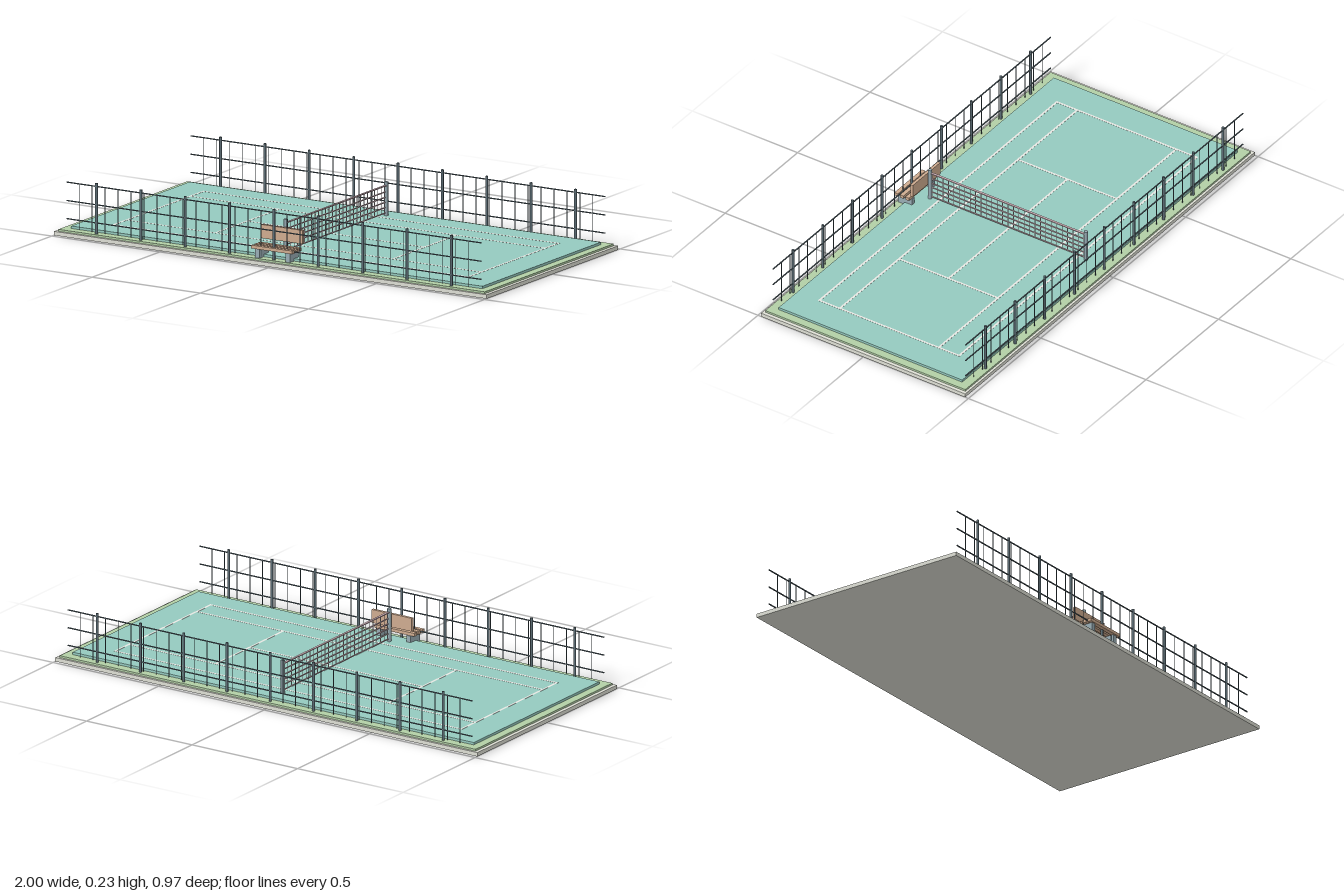
import * as THREE from 'three';

const mat = (name, color) => {
  const m = new THREE.MeshStandardMaterial({ color });
  m.name = name;
  return m;
};

export function createModel() {
  const root = new THREE.Group();
  root.name = 'tennisCourt';
  const concrete = mat('concrete', 0xdfe0d6);
  const grass = mat('grass green', 0xb2cfa6);
  const teal = mat('court teal', 0x95cabf);
  const white = mat('line white', 0xf4f4f0);
  const fenceDark = mat('fence slate', 0x607179);
  const steel = mat('steel grey', 0x9aaeb6);
  const netWhite = mat('net off-white', 0xe4e0e0);
  const tape = mat('net tape pink', 0xdcbcc4);
  const wood = mat('bench wood', 0xd0ad91);

  const group = (name) => {
    const g = new THREE.Group();
    g.name = name;
    root.add(g);
    return g;
  };
  const box = (parent, name, m, w, h, d, x, y, z) => {
    const b = new THREE.Mesh(new THREE.BoxGeometry(w, h, d), m);
    b.name = name;
    b.position.set(x, y, z);
    parent.add(b);
  };
  const post = (parent, name, m, r, y0, y1, x, z) => {
    const p = new THREE.Mesh(new THREE.CylinderGeometry(r, r, y1 - y0, 12), m);
    p.name = name;
    p.position.set(x, (y0 + y1) / 2, z);
    parent.add(p);
  };

  // Stepped ground slabs
  const ground = group('ground');
  box(ground, 'baseSlab', concrete, 2, 0.016, 0.97, 0, 0.008, 0);
  box(ground, 'grassBorder', grass, 1.97, 0.008, 0.95, 0, 0.02, 0);
  box(ground, 'courtSurface', teal, 1.9, 0.01, 0.872, 0, 0.029, 0);

  // Painted court lines
  const lines = group('courtLines');
  const T = 0.009, H = 0.0006, LY = 0.0342;
  for (const s of [-1, 1]) {
    box(lines, 'doublesSideline', white, 1.64 + T, H, T, 0, LY, s * 0.332);
    box(lines, 'singlesSideline', white, 1.64, H, T, 0, LY, s * 0.235);
    box(lines, 'baseline', white, T, H, 0.664, s * 0.82, LY, 0);
    box(lines, 'serviceLine', white, T, H, 0.47, s * 0.41, LY, 0);
  }
  box(lines, 'centreLine', white, 0.82, H, T, 0, LY, 0);

  // Net with posts, cords and mesh
  const net = group('net');
  for (const s of [-1, 1]) post(net, 'netPost', steel, 0.008, 0.034, 0.17, 0, s * 0.37);
  [0.155, 0.13, 0.108, 0.088, 0.067, 0.045].forEach((y, i) =>
    box(net, 'netCord', tape, i ? 0.004 : 0.009, 0.004, 0.73, 0, y, 0));
  for (let i = 0; i <= 28; i++)
    box(net, 'netStrand', netWhite, 0.002, 0.112, 0.002, 0, 0.1, -0.36 + (i * 0.72) / 28);

  // Long fences on both sides
  for (const s of [-1, 1]) {
    const fence = group(s > 0 ? 'frontFence' : 'backFence');
    const z = s * 0.457;
    for (let i = -4; i <= 4; i++) post(fence, 'fencePost', fenceDark, 0.0055, 0.024, 0.227, i * 0.205, z);
    for (const y of [0.214, 0.14, 0.067]) box(fence, 'fenceRail', fenceDark, 1.916, 0.004, 0.004, 0, y, z);
    for (let i = -15; i <= 15; i++)
      box(fence, 'fenceWire', fenceDark, 0.0025, 0.186, 0.0025, i * 0.06, 0.122, z);
  }

  // Slatted bench beside the net
  const bench = group('bench');
  for (const z of [0.466, 0.44, 0.414]) box(bench, 'seatSlat', wood, 0.19, 0.013, 0.017, 0, 0.0675, z);
  box(bench, 'backrest', wood, 0.19, 0.055, 0.012, 0, 0.1145, 0.393);
  for (const s of [-1, 1]) box(bench, 'benchLeg', steel, 0.02, 0.037, 0.066, s * 0.07, 0.0425, 0.435);

  return root;
}
